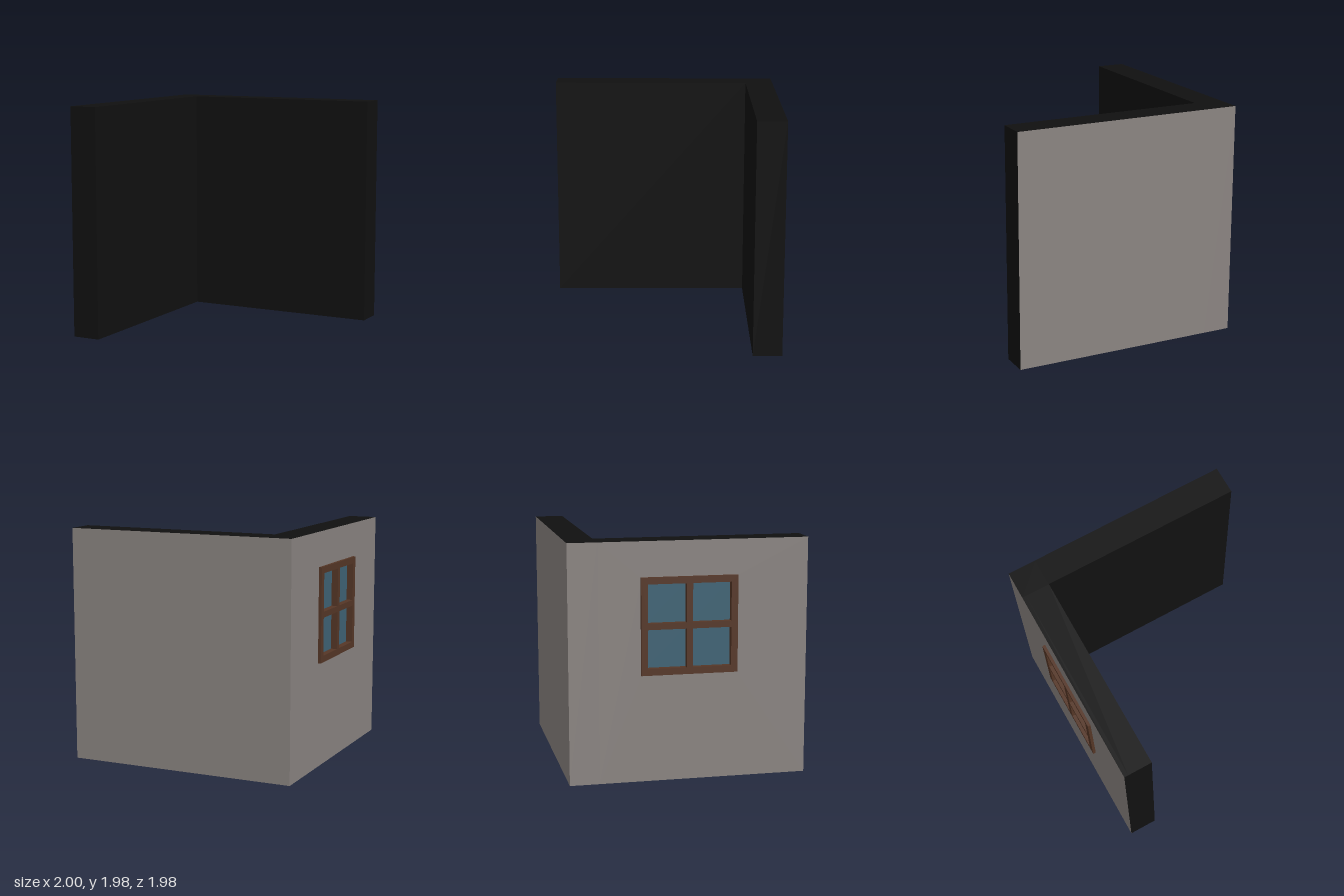
import * as THREE from 'three';

const GREY = 0x8a8481, BLACK = 0x101010, WOOD = 0x553626, GLASS = 0x3f6375;
const mat = (color) => new THREE.MeshStandardMaterial({ color });

// Outline of a rectangle, or its hole
function rect(Type, x0, x1, y0, y1) {
  const s = new Type();
  s.moveTo(x0, y0);
  s.lineTo(x1, y0);
  s.lineTo(x1, y1);
  s.lineTo(x0, y1);
  s.closePath();
  return s;
}

export function createModel() {
  const group = new THREE.Group();
  const grey = mat(GREY), black = mat(BLACK), wood = mat(WOOD), glass = mat(GLASS);
  const H = 1.98;

  function box(name, [x0, x1], [y0, y1], [z0, z1], material) {
    const m = new THREE.Mesh(new THREE.BoxGeometry(x1 - x0, y1 - y0, z1 - z0), material);
    m.position.set((x0 + x1) / 2, (y0 + y1) / 2, (z0 + z1) / 2);
    m.name = name;
    group.add(m);
  }

  // A z-y outline extruded outwards to -x
  function sidePanel(name, shape, depth, material) {
    const m = new THREE.Mesh(
      new THREE.ExtrudeGeometry(shape, { depth, bevelEnabled: false }), material);
    m.rotation.y = -Math.PI / 2;
    m.position.x = -0.94;
    m.name = name;
    group.add(m);
  }

  // Walls: grey outside, black inside (face order +x -x +y -y +z -z)
  box('backWall', [-0.73, 1], [0, H], [-0.99, -0.745],
    [black, black, black, grey, black, grey]);
  box('cornerPost', [-0.975, -0.73], [0, H], [-0.99, -0.745],
    [black, grey, black, black, black, grey]);
  box('sideWall', [-0.94, -0.73], [0, H], [-0.745, 0.99], black);

  // Outer layer of the side wall, open at the window
  const skin = rect(THREE.Shape, -0.745, 0.99, 0, H);
  skin.holes.push(rect(THREE.Path, -0.39, 0.39, 0.9, 1.68));
  sidePanel('sideWallOuterLayer', skin, 0.035, [grey, black]);

  // Window frame with four openings
  const cy = 1.29, half = 0.4, border = 0.055, bar = 0.025;
  const frame = rect(THREE.Shape, -half, half, cy - half, cy + half);
  const spans = [[-half + border, -bar], [bar, half - border]];
  for (const [z0, z1] of spans) {
    for (const [y0, y1] of spans) {
      frame.holes.push(rect(THREE.Path, z0, z1, cy + y0, cy + y1));
      box('windowPane', [-0.945, -0.935], [cy + y0, cy + y1], [z0, z1], glass);
    }
  }
  sidePanel('windowFrame', frame, 0.06, wood);

  return group;
}
